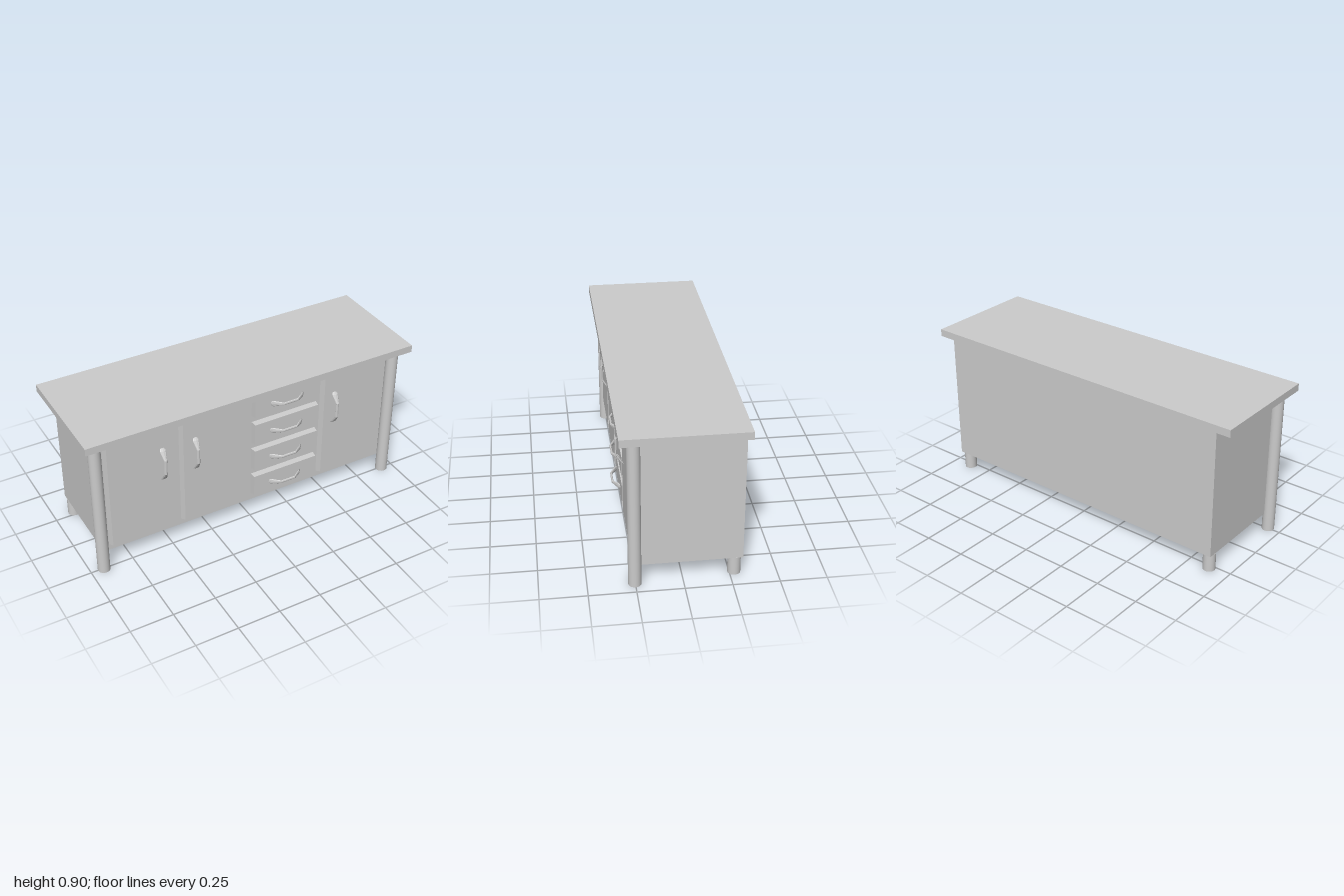
import * as THREE from 'three';

const grey = new THREE.MeshStandardMaterial({ color: 0xcccccc });
const greyFlat = new THREE.MeshStandardMaterial({ color: 0xcccccc, flatShading: true });

const BODY_FRONT = 0.235;
const PANEL_FRONT = 0.268;

function add(parent, name, geometry, x, y, z, material = grey) {
  const mesh = new THREE.Mesh(geometry, material);
  mesh.name = name;
  mesh.position.set(x, y, z);
  parent.add(mesh);
  return mesh;
}

// Box given by its two opposite corners
function box(parent, name, x0, x1, y0, y1, z0, z1) {
  const g = new THREE.BoxGeometry(x1 - x0, y1 - y0, z1 - z0);
  return add(parent, name, g, (x0 + x1) / 2, (y0 + y1) / 2, (z0 + z1) / 2, greyFlat);
}

// Raised panel whose front face is inset to give sloping edges
function panel(parent, name, x0, x1, y0, y1, inset) {
  const mesh = box(parent, name, x0, x1, y0, y1, BODY_FRONT - 0.01, PANEL_FRONT);
  const p = mesh.geometry.attributes.position;
  for (let i = 0; i < p.count; i++) {
    if (p.getZ(i) > 0) {
      p.setX(i, p.getX(i) - Math.sign(p.getX(i)) * inset);
      p.setY(i, p.getY(i) - Math.sign(p.getY(i)) * inset);
    }
  }
  mesh.geometry.computeVertexNormals();
}

// Bowed pull: oval sections [along, out, half width, half thickness], flared at the ends
function handleGeometry() {
  const half = [
    [-0.107, -0.006, 0.009, 0.004],
    [-0.092, 0.009, 0.018, 0.006],
    [-0.045, 0.038, 0.009, 0.006],
  ];
  const sections = [...half, ...half.map(([s, ...r]) => [-s, ...r]).reverse()];
  const sides = 8, pos = [], index = [];
  for (const [s, out, w, t] of sections) {
    for (let k = 0; k < sides; k++) {
      const a = (k / sides) * Math.PI * 2;
      pos.push(s, w * Math.cos(a), out + t * Math.sin(a));
    }
  }
  for (let i = 0; i < sections.length - 1; i++) {
    for (let k = 0; k < sides; k++) {
      const a = i * sides + k, b = i * sides + (k + 1) % sides;
      index.push(a, b, a + sides, b, b + sides, a + sides);
    }
  }
  const last = (sections.length - 1) * sides;
  for (let k = 1; k < sides - 1; k++) {
    index.push(0, k + 1, k, last, last + k, last + k + 1);
  }
  const g = new THREE.BufferGeometry();
  g.setAttribute('position', new THREE.Float32BufferAttribute(pos, 3));
  g.setIndex(index);
  g.computeVertexNormals();
  return g;
}

export function createModel() {
  const model = new THREE.Group();
  model.name = 'sideboard';

  // Worktop and cabinet body
  box(model, 'worktop', -1, 1, 0.855, 0.897, -0.33, 0.33);
  box(model, 'cabinetBody', -0.912, 0.912, 0.105, 0.855, -0.317, BODY_FRONT);

  // Full-height front posts and short rear feet
  const post = new THREE.CylinderGeometry(0.035, 0.035, 0.855, 24);
  const foot = new THREE.CylinderGeometry(0.035, 0.035, 0.105, 24);
  for (const side of [-1, 1]) {
    add(model, 'frontLeg', post, side * 0.925, 0.4275, 0.253);
    add(model, 'rearLeg', foot, side * 0.88, 0.0525, -0.275);
  }

  // Doors with upright handles
  const handle = handleGeometry();
  const doors = [[-0.88, -0.55], [-0.44, -0.355], [0.45, 0.53]];
  for (const [x, handleX] of doors) {
    panel(model, 'door', x, x + 0.42, 0.14, 0.832, 0.015);
    add(model, 'doorHandle', handle, handleX, 0.597, PANEL_FRONT, greyFlat).rotation.z = Math.PI / 2;
  }

  // Stack of four drawers with level handles
  for (let i = 0; i < 4; i++) {
    const y = 0.222 + i * 0.18;
    panel(model, 'drawer', 0.01, 0.43, y - 0.071, y + 0.071, 0.006);
    add(model, 'drawerHandle', handle, 0.217, y - 0.003 + 0.001 * i, PANEL_FRONT, greyFlat);
  }
  return model;
}
